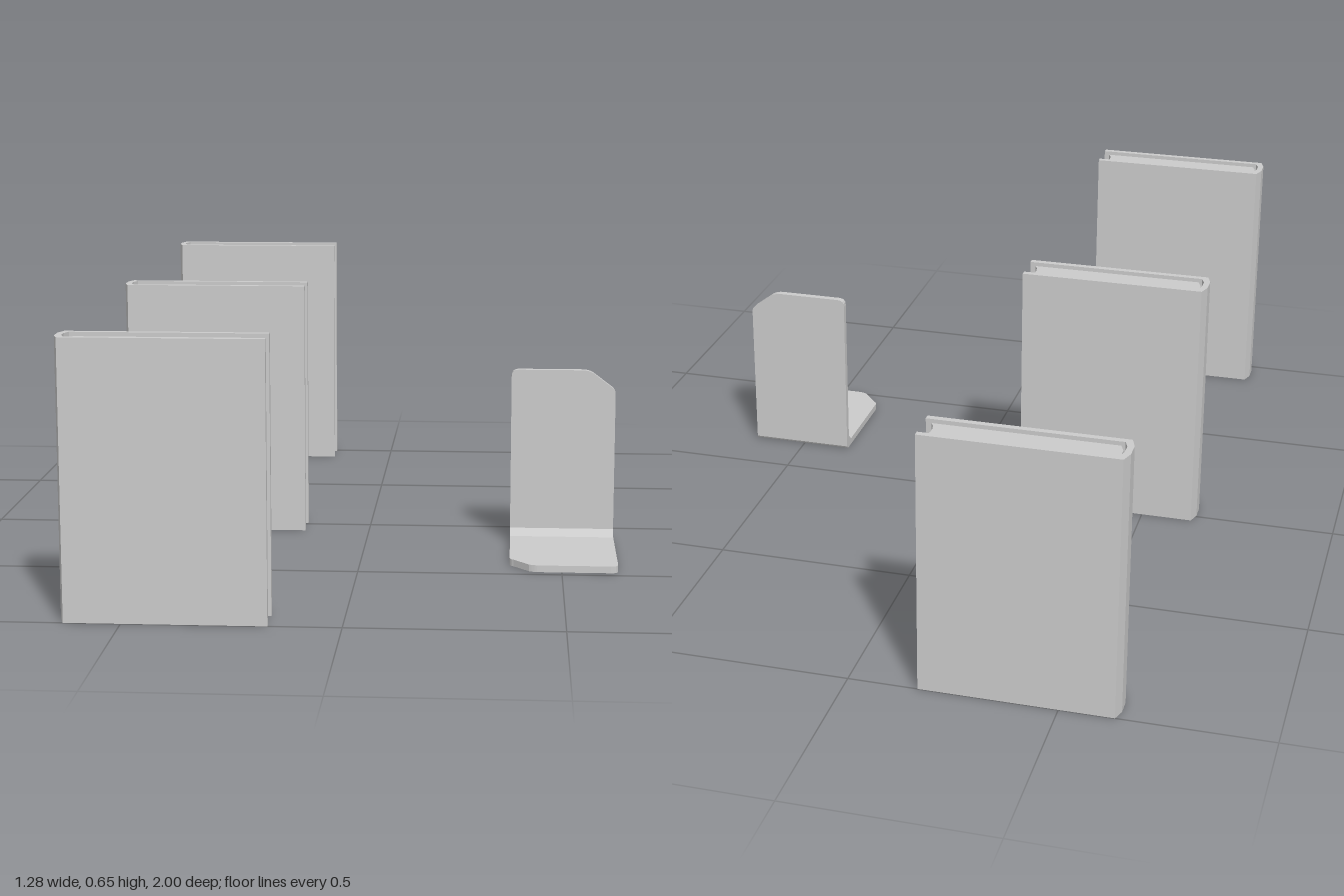
import * as THREE from 'three';

const material = new THREE.MeshStandardMaterial({ color: 0xcccccc, flatShading: true });

function shapeOf(points) {
  return new THREE.Shape(points.map(([x, y]) => new THREE.Vector2(x, y)));
}

function extrude(shape, depth, name) {
  const geometry = new THREE.ExtrudeGeometry(shape, { depth, bevelEnabled: false, curveSegments: 4 });
  const mesh = new THREE.Mesh(geometry, material);
  mesh.name = name;
  return mesh;
}

// A half outline (z >= 0) mirrored into a full closed section
function mirrored(half) {
  const other = half.map(([x, z]) => [x, -z]).reverse();
  return shapeOf([...half, ...other]);
}

// Upright book: C-section cover around a page block with a hollowed fore edge
function makeBook() {
  const book = new THREE.Group();
  book.name = 'book';

  const cover = extrude(mirrored([
    [-0.641, 0.02], [-0.631, 0.05], [-0.168, 0.05], [-0.168, 0.035],
    [-0.618, 0.035], [-0.626, 0.013],
  ]), 0.65, 'cover');
  cover.rotation.x = -Math.PI / 2;

  const pages = extrude(mirrored([
    [-0.618, 0.012], [-0.609, 0.035], [-0.181, 0.035], [-0.188, 0.022], [-0.191, 0.008],
  ]), 0.63, 'pages');
  pages.rotation.x = -Math.PI / 2;
  pages.position.y = 0.01;

  book.add(cover, pages);
  return book;
}

// Plate with one small rounded corner and one large cut corner at its far end
function plateShape(width, length, cutX, cutY) {
  const r = 0.018;
  const s = new THREE.Shape();
  s.moveTo(0, 0);
  s.lineTo(width, 0);
  s.lineTo(width, length - cutY - 0.01);
  s.quadraticCurveTo(width, length - cutY, width - 0.01, length - cutY + 0.007);
  s.lineTo(width - cutX + 0.012, length - 0.007);
  s.quadraticCurveTo(width - cutX, length, width - cutX - 0.015, length);
  s.lineTo(r, length);
  s.quadraticCurveTo(0, length, 0, length - r);
  s.closePath();
  return s;
}

// L-shaped bookend
function makeBookend() {
  const bookend = new THREE.Group();
  bookend.name = 'bookend';
  const x0 = 0.372, x1 = 0.638, width = x1 - x0;
  const back = 0.139, t = 0.017, fillet = 0.035;

  const upright = extrude(plateShape(width, 0.45 - fillet, 0.07, 0.05), t, 'upright');
  upright.position.set(x0, fillet, back);

  // Base runs forward, with its cut corner on the opposite side
  const base = extrude(plateShape(width, 0.477 - back - fillet, 0.06, 0.06), t, 'base');
  base.rotation.set(Math.PI / 2, Math.PI, 0, 'YXZ');
  base.rotation.set(0, 0, 0);
  base.geometry.applyMatrix4(new THREE.Matrix4().makeBasis(
    new THREE.Vector3(-1, 0, 0), new THREE.Vector3(0, 0, 1), new THREE.Vector3(0, 1, 0)));
  base.position.set(x1, 0, back + fillet);

  // Bend joining both plates, section in (z, y)
  const bend = extrude(shapeOf([
    [0, 0.008], [0.003, 0.003], [0.008, 0], [fillet, 0], [fillet, t],
    [t, fillet], [0, fillet],
  ]), width, 'bend');
  bend.rotation.y = -Math.PI / 2;
  bend.position.set(x1, 0, back);

  bookend.add(upright, base, bend);
  return bookend;
}

export function createModel() {
  const model = new THREE.Group();
  model.name = 'booksAndBookend';
  for (const z of [0.95, 0.025, -0.95]) {
    const book = makeBook();
    book.position.z = z;
    model.add(book);
  }
  model.add(makeBookend());
  return model;
}
